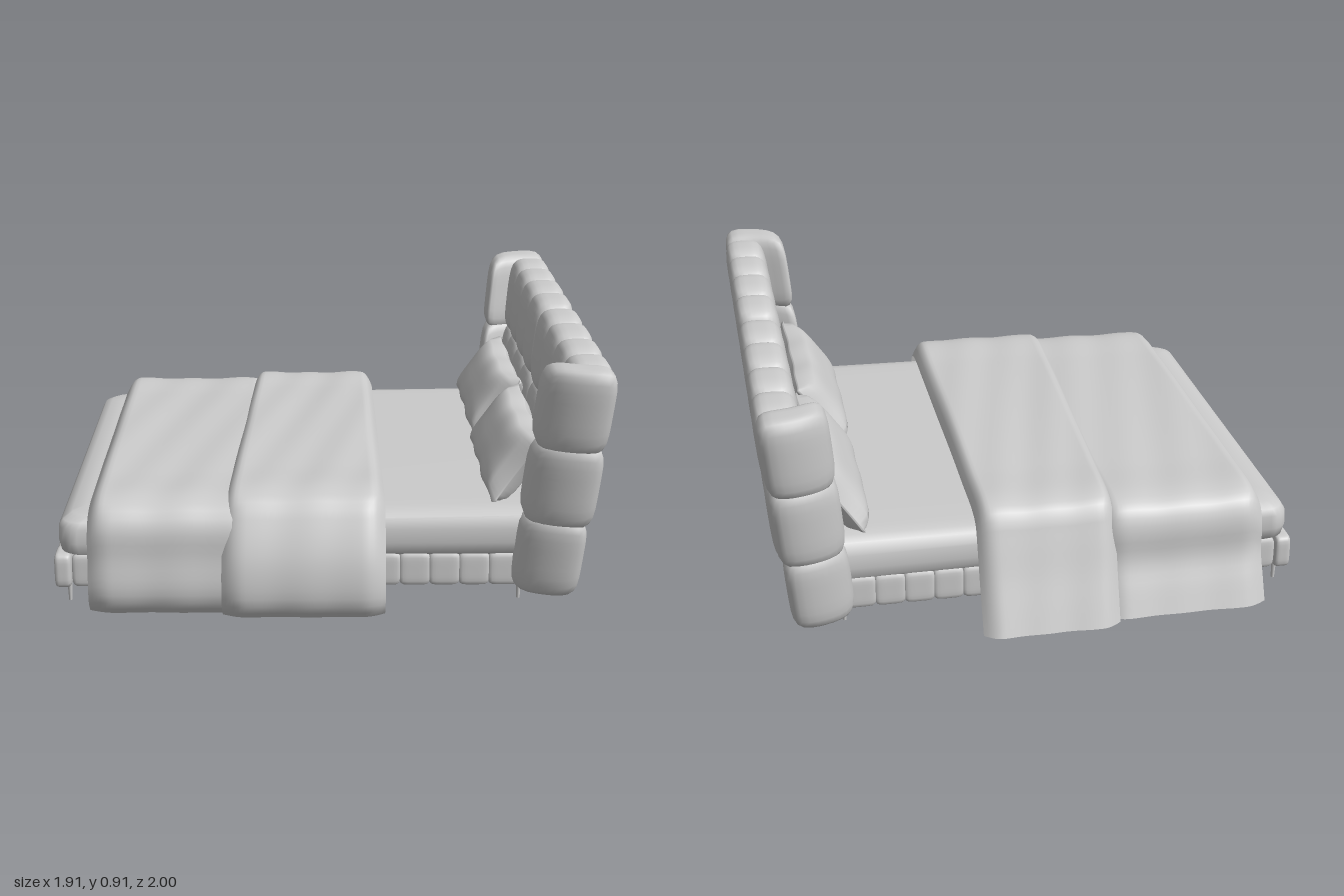
import * as THREE from 'three';
import { mergeVertices } from 'three/addons/utils/BufferGeometryUtils.js';

const material = new THREE.MeshStandardMaterial({ color: 0xcccccc });
const clothMaterial = new THREE.MeshStandardMaterial({ color: 0xcccccc, side: THREE.DoubleSide });

// Segmented cube whose vertices (-1..1) are moved by a rule, with smooth normals
function shaped(segs, rule) {
  let g = new THREE.BoxGeometry(2, 2, 2, ...segs);
  g.deleteAttribute('uv');
  g.deleteAttribute('normal');
  g = mergeVertices(g);
  const p = g.attributes.position, v = new THREE.Vector3();
  for (let i = 0; i < p.count; i++) {
    rule(v.fromBufferAttribute(p, i));
    p.setXYZ(i, v.x, v.y, v.z);
  }
  g.computeVertexNormals();
  return g;
}

// Upholstered cushion filling the given x, y and z ranges, n sets its squareness
function puff([x0, x1], [y0, y1], [z0, z1], n = 5, bend = null) {
  return shaped([8, 8, 8], (v) => {
    const len = (Math.abs(v.x) ** n + Math.abs(v.y) ** n + Math.abs(v.z) ** n) ** (1 / n);
    v.divideScalar(len);
    v.set(x0 + (x1 - x0) * (v.x + 1) / 2, y0 + (y1 - y0) * (v.y + 1) / 2, z0 + (z1 - z0) * (v.z + 1) / 2);
    if (bend) bend(v);
  });
}

// Surface from a grid of points: at(u, v) gives [x, y, z]
function sheet(rows, cols, at) {
  const pos = [], idx = [];
  for (let i = 0; i <= rows; i++) {
    for (let j = 0; j <= cols; j++) {
      pos.push(...at(i / rows, j / cols));
      if (i < rows && j < cols) {
        const a = i * (cols + 1) + j, b = a + cols + 1;
        idx.push(a, a + 1, b, b, a + 1, b + 1);
      }
    }
  }
  const g = new THREE.BufferGeometry();
  g.setAttribute('position', new THREE.Float32BufferAttribute(pos, 3));
  g.setIndex(idx);
  g.computeVertexNormals();
  return g;
}

function add(parent, name, geometry, mat = material) {
  const m = new THREE.Mesh(geometry, mat);
  m.name = name;
  parent.add(m);
  return m;
}

function group(parent, name) {
  const g = new THREE.Group();
  g.name = name;
  parent.add(g);
  return g;
}

// U-shaped plan outline with rounded foot corners, open at the head
function planOutline(x0, x1, zHalf, r) {
  const pts = [[x1, zHalf]];
  for (const [cz, start] of [[zHalf - r, 1], [r - zHalf, 2]]) {
    for (let k = 0; k <= 5; k++) {
      const a = (start + k / 5) * Math.PI / 2;
      pts.push([x0 + r + r * Math.cos(a), cz + r * Math.sin(a)]);
    }
  }
  return [...pts, [x1, -zHalf]];
}

// Mattress shell, open below and at the head: stacked outlines of [height, inset]
function mattressGeometry() {
  const levels = [[0.195, 0.03], [0.21, 0.008], [0.25, 0], [0.3, 0.002], [0.335, 0.015], [0.352, 0.045], [0.358, 0.09], [0.36, 0.2]];
  const rings = levels.map(([y, d]) => planOutline(-0.95 + d, 0.76, 0.79 - d, 0.07)
    .map(([x, z]) => [x, y + (y > 0.3 ? 0.014 * x : 0), z]));
  rings.push(rings.at(-1).map(([x, y]) => [x, y + 0.002, 0]));
  const rows = rings.length - 1, cols = rings[0].length - 1;
  return sheet(rows, cols, (u, v) => rings[Math.round(u * rows)][Math.round(v * cols)]);
}

// Cloth over both sides of the bed: it flares out on the right (-z) and
// bulges then tucks in on the left (+z); the head and foot edges may slant with z
function drape(top, right, left, x0, x1, slant0, slant1) {
  const path = new THREE.CatmullRomCurve3([
    [-right, 0.012], [0.035 - right, 0.1], [0.075 - right, 0.2], [-0.83, top - 0.1], [-0.8, top - 0.03], [-0.74, top - 0.004],
    [-0.5, top], [-0.2, top + 0.004], [0.2, top + 0.004], [0.5, top],
    [0.74, top - 0.004], [0.81, top - 0.03], [0.85, top - 0.09], [left - 0.015, 0.22], [left, 0.11], [left - 0.01, 0.05], [left - 0.04, 0.012],
  ].map(([z, y]) => new THREE.Vector3(0, y, z)), false, 'centripetal');
  const pts = path.getSpacedPoints(80);
  return sheet(40, 80, (u, v) => {
    const { y, z } = pts[Math.round(v * 80)];
    const edge = Math.min(u, 1 - u);
    const hang = 1 - y / top;
    // edges sink to the mattress and draw in, the middle carries soft folds
    const sink = 0.05 * Math.max(0, 1 - edge / 0.08) ** 2 * (1 - hang);
    const draw = 1 - 0.035 * Math.max(0, 1 - edge / 0.14) ** 2;
    const fold = 0.004 * Math.sin(u * 13 + z * 4) * Math.sin(z * 3 + u * 5);
    const a = x0 + slant0 * z, b = x1 + slant1 * z;
    return [a + (b - a) * u, y - sink + fold * (1 - hang), z * draw + Math.sign(z) * fold * hang];
  });
}

export function createModel() {
  const bed = new THREE.Group();
  bed.name = 'bed';

  add(bed, 'mattress', mattressGeometry(), clothMaterial);

  // Slim padded base rails, split into small cushions
  const frame = group(bed, 'baseFrame');
  const footCount = 14, sideCount = 15;
  for (let i = 0; i < footCount; i++) {
    const w = 1.56 / footCount, z = -0.78 + i * w;
    add(frame, 'footRailCushion', puff([-0.965, -0.905], [0.08, 0.205], [z - 0.003, z + w + 0.003], 6));
  }
  for (const s of [1, -1]) {
    for (let i = 0; i < sideCount; i++) {
      const w = 1.56 / sideCount, x = -0.9 + i * w;
      const z = s > 0 ? [0.725, 0.78] : [-0.78, -0.725];
      add(frame, 'sideRailCushion', puff([x - 0.003, x + w + 0.003], [0.085, 0.205], z, 6));
    }
  }

  // Slim legs
  for (const x of [-0.915, 0.665]) {
    for (const z of [-0.745, 0.745]) {
      add(bed, 'leg', new THREE.CylinderGeometry(0.01, 0.006, 0.08, 10)).position.set(x, 0.065, z);
    }
  }

  // Leaning headboard: two quilted halves with side wings
  const lean = (v) => { v.x += 0.1 * (v.y - 0.1); };
  const columns = [0.008, 0.24, 0.47, 0.68, 0.88];
  const panelRows = [[0.325, 0.64], [0.61, 0.912]];
  const wingRows = [[0.08, 0.37], [0.34, 0.645], [0.615, 0.918]];
  for (const s of [1, -1]) {
    const half = group(bed, s > 0 ? 'leftHeadboard' : 'rightHeadboard');
    const span = (a, b) => (s > 0 ? [a, b] : [-b, -a]);
    for (const row of panelRows) {
      for (let c = 0; c < 4; c++) {
        add(half, 'headboardCushion', puff([0.712, 0.875], row, span(columns[c] - (c ? 0.014 : 0), columns[c + 1] + 0.014), 4, lean));
      }
    }
    // wings splay outward with height, their fronts turned inward
    wingRows.forEach((row, r) => {
      add(half, 'wingCushion', puff([0.628, r ? 0.868 : 0.855], row, span(0.74, 0.9), 5, (v) => {
        v.z += s * (0.13 * (v.y - 0.1) + 0.16 * (v.x - 0.78) - 2.2 * (v.x - 0.78) ** 2);
        lean(v);
      }));
    });
  }

  // Bedding
  add(bed, 'duvet', drape(0.415, 0.91, 0.875, -0.84, -0.25, 0, 0), clothMaterial);
  add(bed, 'throwBlanket', drape(0.44, 0.955, 0.92, -0.335, 0.195, -0.045, -0.005), clothMaterial);

  // Pillows with pinched corners, leaning on the headboard
  for (const s of [1, -1]) {
    const pillow = add(bed, s > 0 ? 'leftPillow' : 'rightPillow', shaped([14, 4, 24], (v) => {
      const { x, y, z } = v;
      const swell = Math.sqrt((1 - x ** 4) * (1 - z ** 6));
      v.set(x * 0.145 * (1 - 0.08 * (1 - z * z)) + 0.004 * Math.sin(z * 9),
        y * (0.004 + 0.066 * swell),
        z * 0.355 * (1 - 0.05 * (1 - x * x)));
    }));
    pillow.position.set(s > 0 ? 0.655 : 0.665, 0.475, s > 0 ? 0.345 : -0.385);
    pillow.rotation.z = 0.95;
  }

  return bed;
}
